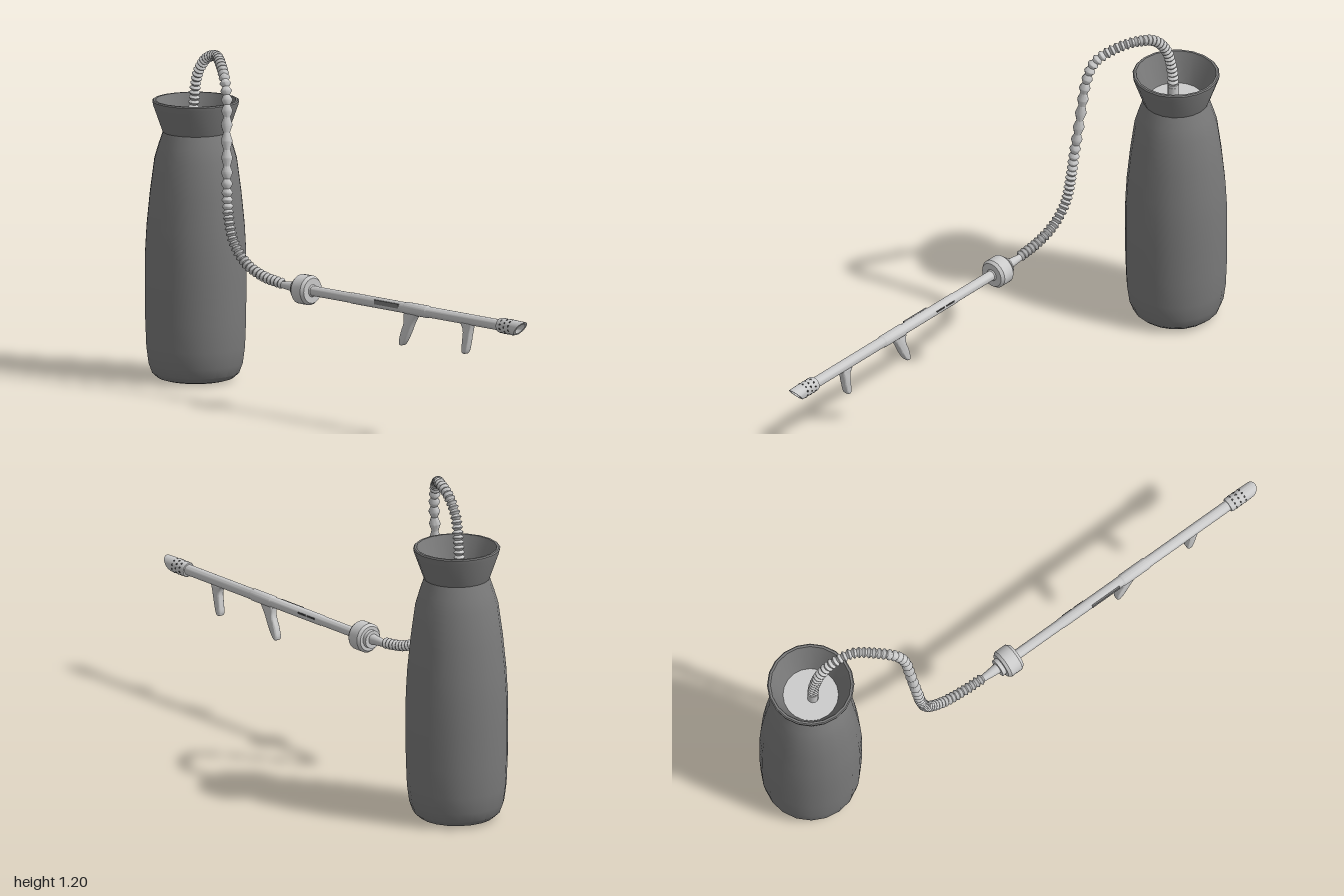
import * as THREE from 'three';
import { toCreasedNormals } from 'three/addons/utils/BufferGeometryUtils.js';

const grey = new THREE.MeshStandardMaterial({ color: 0xcccccc, side: THREE.DoubleSide });
const dark = new THREE.MeshStandardMaterial({ color: 0x7a7a7a, side: THREE.DoubleSide });
const black = new THREE.MeshStandardMaterial({ color: 0x444444 });
const BOTTLE = { x: 0.025, z: -0.82 };
const GUN = { x: -0.16, y: 0.44 };

function add(parent, name, geometry, material = grey) {
  const mesh = new THREE.Mesh(geometry, material);
  mesh.name = name;
  parent.add(mesh);
  return mesh;
}

// Revolved profile of [radius, height] pairs with sharp edges kept
function lathe(points, sides, crease = 0.5) {
  const geometry = new THREE.LatheGeometry(points.map(([r, y]) => new THREE.Vector2(r, y)), sides);
  return toCreasedNormals(geometry, crease);
}

// Round rings of varying radius swept along a curve
function ringedTube(curve, stations, sides) {
  const positions = [], indices = [];
  const length = curve.getLength();
  const side = new THREE.Vector3(1, 0, 0);
  for (const [s, r] of stations) {
    const u = Math.min(s / length, 1);
    const p = curve.getPointAt(u), t = curve.getTangentAt(u);
    side.addScaledVector(t, -side.dot(t)).normalize();
    const up = new THREE.Vector3().crossVectors(t, side);
    for (let i = 0; i < sides; i++) {
      const a = (i / sides) * Math.PI * 2;
      const q = p.clone().addScaledVector(side, r * Math.cos(a)).addScaledVector(up, r * Math.sin(a));
      positions.push(q.x, q.y, q.z);
    }
  }
  for (let j = 0; j < stations.length - 1; j++) {
    for (let i = 0; i < sides; i++) {
      const a = j * sides + i, b = j * sides + (i + 1) % sides;
      indices.push(a, b, a + sides, b, b + sides, a + sides);
    }
  }
  const geometry = new THREE.BufferGeometry();
  geometry.setAttribute('position', new THREE.Float32BufferAttribute(positions, 3));
  geometry.setIndex(indices);
  return toCreasedNormals(geometry, 0.7);
}

function buildBottle() {
  const bottle = new THREE.Group();
  bottle.name = 'bottle';
  bottle.position.set(BOTTLE.x, 0, BOTTLE.z);
  add(bottle, 'bottleBody', lathe([
    [0, 0], [0.11, 0], [0.135, 0.007], [0.155, 0.025], [0.168, 0.06], [0.176, 0.12],
    [0.18, 0.22], [0.181, 0.36], [0.18, 0.46], [0.175, 0.55], [0.163, 0.67],
    [0.147, 0.79], [0.132, 0.84], [0.115, 0.89],
  ], 20), dark);
  add(bottle, 'funnelCollar', lathe([
    [0.095, 0.885], [0.116, 0.885], [0.12, 0.895], [0.152, 0.985], [0.154, 0.996], [0.15, 1.0],
    [0.142, 1.0], [0.138, 0.99], [0.1, 0.9], [0.095, 0.885],
  ], 20), dark);
  const lid = add(bottle, 'neckLid', new THREE.CylinderGeometry(0.1, 0.1, 0.012, 20));
  lid.position.y = 0.888;
  return bottle;
}

function buildHose() {
  const hose = new THREE.Group();
  hose.name = 'hose';
  const curve = new THREE.CatmullRomCurve3([
    [0.012, 0.93, -0.82], [0.012, 1.0, -0.815], [0.005, 1.1, -0.79], [-0.005, 1.16, -0.74],
    [-0.025, 1.183, -0.67], [-0.07, 1.165, -0.6], [-0.11, 1.12, -0.54], [-0.125, 1.05, -0.515],
    [-0.137, 0.95, -0.505], [-0.145, 0.85, -0.495], [-0.155, 0.75, -0.485], [-0.16, 0.65, -0.472],
    [-0.16, 0.56, -0.445], [-0.16, 0.495, -0.385], [-0.16, 0.46, -0.3], [-0.16, 0.445, -0.2],
  ].map((p) => new THREE.Vector3(...p)));
  // Bellows whose pleats are stretched on the hanging stretch
  const length = curve.getLength(), stations = [];
  const pitch = (s) => 0.018 + 0.044 * Math.exp(-(((s - 0.7) / 0.15) ** 2));
  for (let s = 0; s < length;) {
    const step = pitch(s);
    stations.push([s, 0.012], [s + step * 0.45, 0.02], [s + step * 0.55, 0.02]);
    s += step;
  }
  stations.push([length, 0.012]);
  add(hose, 'bellowsHose', ringedTube(curve, stations.filter(([s]) => s <= length), 12));

  const stub = add(hose, 'hoseInlet', new THREE.CylinderGeometry(0.02, 0.02, 0.06, 14));
  stub.position.set(0.012, 0.92, -0.82);
  const cone = add(hose, 'hoseConnector', new THREE.CylinderGeometry(0.012, 0.019, 0.07, 14));
  cone.rotation.x = -Math.PI / 2;
  cone.position.set(GUN.x, GUN.y + 0.002, -0.17);
  return hose;
}

// Rounded grip cut from a [z, y] outline, extruded across x
function grip(outline) {
  const shape = new THREE.Shape();
  shape.setFromPoints(new THREE.SplineCurve(outline.map(([z, y]) => new THREE.Vector2(-z, y))).getPoints(28));
  const geometry = new THREE.ExtrudeGeometry(shape, {
    depth: 0.012, bevelEnabled: true, bevelSize: 0.006, bevelThickness: 0.008, bevelOffset: -0.006, bevelSegments: 3,
  });
  geometry.translate(0, 0, -0.006).rotateY(Math.PI / 2);
  return toCreasedNormals(geometry, 0.6);
}

function buildWand() {
  const wand = new THREE.Group();
  wand.name = 'wand';
  wand.position.set(GUN.x, GUN.y, 0);
  // Turned along y, then laid forward along z
  const turned = (name, points, sides = 20) => {
    const geometry = lathe(points, sides).rotateX(Math.PI / 2);
    return add(wand, name, geometry);
  };
  turned('barrel', [[0.018, -0.06], [0.018, 0.14], [0.0195, 0.145], [0.0195, 0.41], [0.022, 0.415],
    [0.022, 0.52], [0.0195, 0.525], [0.0195, 0.9]]);
  turned('couplingNut', [[0, -0.135], [0.033, -0.135], [0.033, -0.12], [0.045, -0.12], [0.053, -0.11],
    [0.053, -0.065], [0.045, -0.054], [0.022, -0.054], [0.018, -0.05]]);

  // Hollow nozzle, its mouth cut on a slant with the top edge longest
  const nozzle = lathe([[0.019, 0.88], [0.025, 0.88], [0.027, 0.885], [0.027, 0.95], [0.026, 1.0],
    [0.019, 1.0], [0.018, 0.9], [0, 0.9]], 20).rotateX(Math.PI / 2);
  const p = nozzle.attributes.position;
  for (let i = 0; i < p.count; i++) {
    if (p.getZ(i) > 0.97) p.setZ(i, 0.978 + 0.85 * p.getY(i));
  }
  add(wand, 'nozzle', toCreasedNormals(nozzle, 0.5));

  // Rings of vent holes
  for (let row = 0; row < 3; row++) {
    for (let i = 0; i < 10; i++) {
      const a = ((i + row * 0.5) / 10) * Math.PI * 2;
      const hole = add(wand, 'ventHole', new THREE.CylinderGeometry(0.0042, 0.0042, 0.002, 8), black);
      hole.position.set(Math.sin(a) * 0.0265, Math.cos(a) * 0.0265, 0.9 + row * 0.021);
      hole.rotation.z = -a;
    }
  }

  // Grips below the barrel
  const front = [[0.745, -0.012], [0.737, -0.04], [0.727, -0.085], [0.717, -0.118], [0.705, -0.125],
    [0.695, -0.116], [0.698, -0.08], [0.702, -0.04], [0.692, -0.012], [0.745, -0.012]];
  const rear = [[0.475, -0.012], [0.45, -0.05], [0.43, -0.09], [0.408, -0.126], [0.393, -0.136],
    [0.384, -0.126], [0.392, -0.09], [0.408, -0.05], [0.412, -0.012], [0.475, -0.012]];
  add(wand, 'frontGrip', grip(front));
  add(wand, 'rearGrip', grip(rear));

  // Inset slots on the left, panel on the right
  for (const z of [0.185, 0.235]) {
    add(wand, 'sideSlot', new THREE.BoxGeometry(0.004, 0.006, 0.042), black).position.set(0.018, 0.004, z);
  }
  add(wand, 'sidePanel', new THREE.BoxGeometry(0.006, 0.016, 0.12), dark).position.set(-0.0175, 0.005, 0.33);
  return wand;
}

export function createModel() {
  const model = new THREE.Group();
  model.name = 'bottleWithHoseAndWand';
  model.add(buildBottle(), buildHose(), buildWand());
  return model;
}
